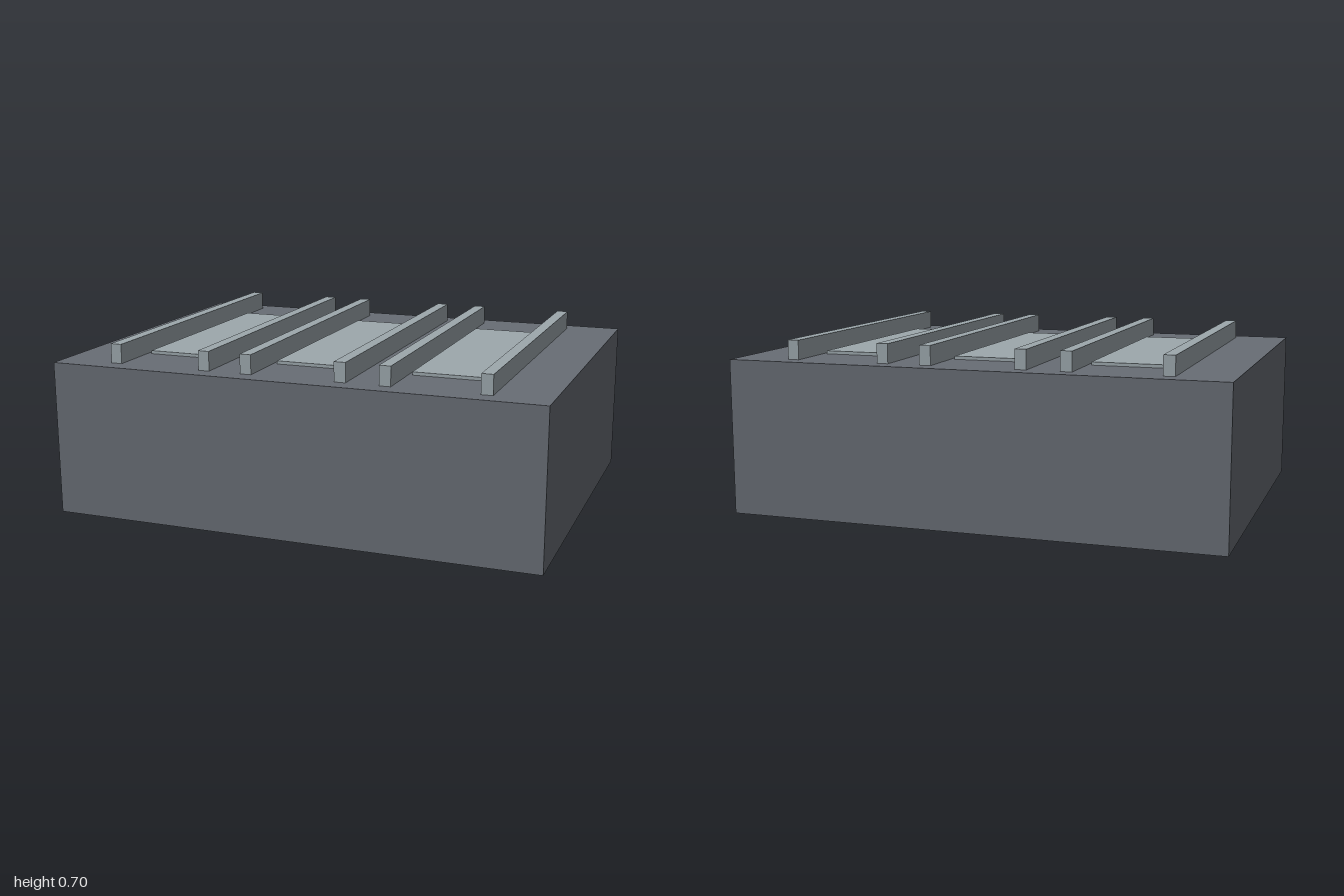
import * as THREE from 'three';

export function createModel() {
  const model = new THREE.Group();
  const darkGrey = new THREE.MeshStandardMaterial({ color: 0x686d75 });
  darkGrey.name = 'darkGrey';
  const paleGrey = new THREE.MeshStandardMaterial({ color: 0x9da8ad });
  paleGrey.name = 'paleGrey';

  // Box resting on a given height
  function addBox(name, material, width, height, depth, x, bottom) {
    const mesh = new THREE.Mesh(new THREE.BoxGeometry(width, height, depth), material);
    mesh.name = name;
    mesh.position.set(x, bottom + height / 2, 0);
    model.add(mesh);
  }

  const top = 0.627;
  addBox('baseBlock', darkGrey, 2, top, 1.5, 0, 0);

  // Three bays, each a flat panel between two rails
  const bays = [-0.564, 0, 0.564];
  bays.forEach((x, i) => {
    addBox(`panel${i + 1}`, paleGrey, 0.308, 0.013, 0.93, x, top);
    for (const side of [-1, 1]) {
      addBox(`rail${i + 1}${side < 0 ? 'Right' : 'Left'}`, paleGrey, 0.046, 0.078, 1.35, x + side * 0.193, top);
    }
  });

  return model;
}
